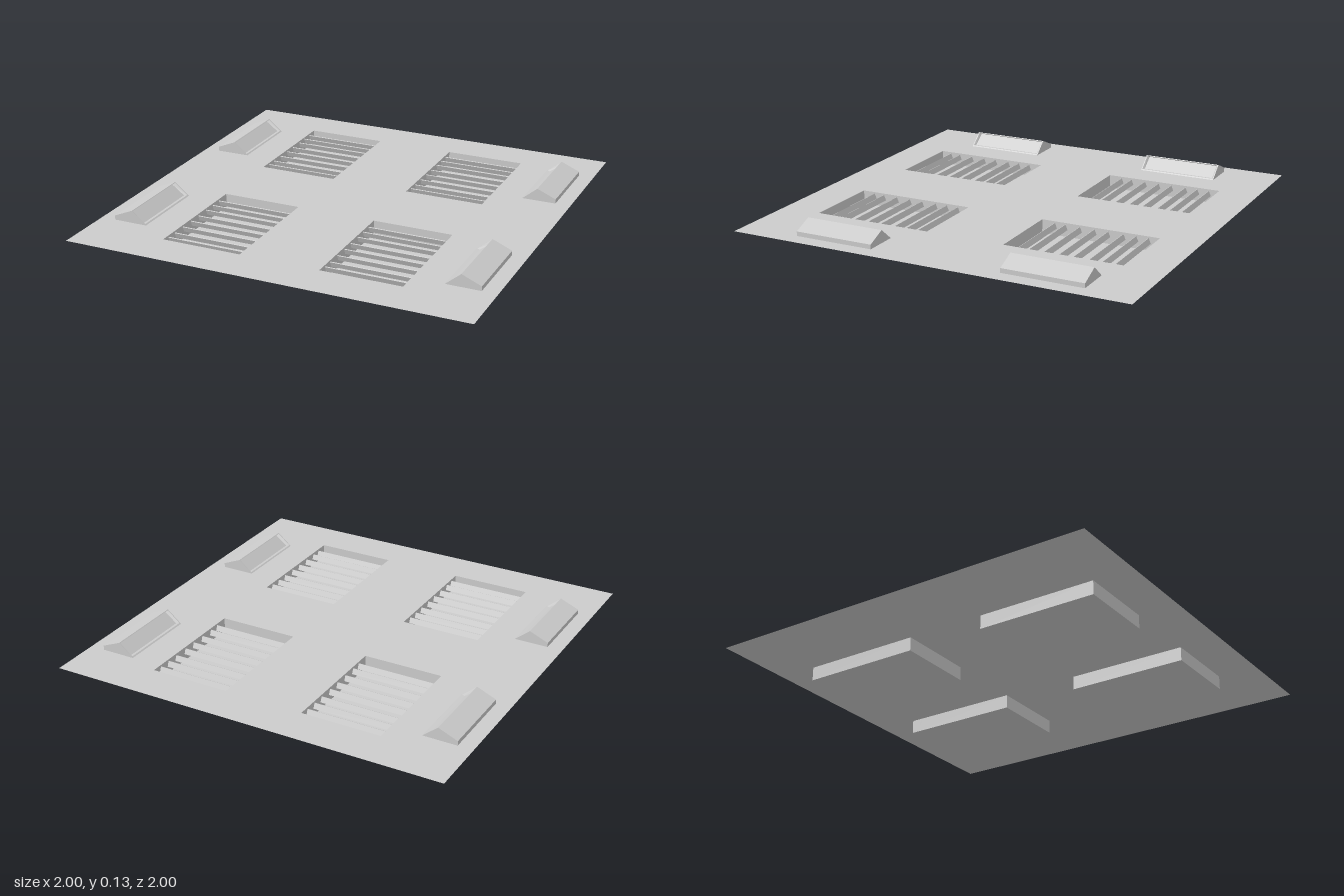
import * as THREE from 'three';

const material = new THREE.MeshStandardMaterial({
  color: 0xcccccc, flatShading: true, side: THREE.DoubleSide,
});
const DECK = 0.068;

function part(name, geometry) {
  const mesh = new THREE.Mesh(geometry, material);
  mesh.name = name;
  return mesh;
}

// Geometry from a list of four-cornered faces
function quads(faces) {
  const points = faces.flatMap(([a, b, c, d]) => [a, b, c, a, c, d]).flat();
  const geometry = new THREE.BufferGeometry();
  geometry.setAttribute('position', new THREE.Float32BufferAttribute(points, 3));
  geometry.computeVertexNormals();
  return geometry;
}

// Thin deck with four rectangular openings
function makeDeck() {
  const rect = (target, x0, y0, x1, y1) => {
    target.moveTo(x0, y0).lineTo(x1, y0).lineTo(x1, y1).lineTo(x0, y1).closePath();
    return target;
  };
  const shape = rect(new THREE.Shape(), -1, -1, 1, 1);
  for (const x of [-0.4, 0.4]) {
    for (const z of [-0.5, 0.5]) {
      shape.holes.push(rect(new THREE.Path(), x - 0.2, z - 0.3, x + 0.2, z + 0.3));
    }
  }
  const geometry = new THREE.ShapeGeometry(shape);
  geometry.rotateX(-Math.PI / 2).translate(0, DECK, 0);
  return part('deck', geometry);
}

// Open-topped tray filled with leaning slats
function makeVent(x, z, shift) {
  const vent = new THREE.Group();
  vent.name = 'vent';
  vent.position.set(x, 0, z);
  const corner = (sx, y, sz) => [sx * 0.2, y, sz * 0.3];
  const ring = [[-1, -1], [-1, 1], [1, 1], [1, -1]];
  const walls = ring.map(([ax, az], i) => {
    const [bx, bz] = ring[(i + 1) % 4];
    return [corner(ax, 0, az), corner(bx, 0, bz), corner(bx, DECK, bz), corner(ax, DECK, az)];
  });
  walls.push(ring.map(([ax, az]) => corner(ax, 0, az)));
  vent.add(part('tray', quads(walls)));

  const slatGeometry = new THREE.BoxGeometry(0.402, 0.028, 0.005);
  slatGeometry.rotateX(0.4);
  for (const offset of [0.052, 0.114, 0.178, 0.255, 0.325, 0.4, 0.475, 0.53]) {
    const slat = part('slat', slatGeometry);
    slat.position.set(0.001, 0.046, offset + shift - 0.3);
    vent.add(slat);
  }
  return vent;
}

// Wedge hood with a recessed panel in the slope facing the middle
function makeHood(side, z0, z1) {
  const hood = new THREE.Group();
  hood.name = side > 0 ? 'leftHood' : 'rightHood';
  const p = (x, y, z) => [side * x, y, z];
  const foot = 0.755, ridge = 0.83, back = 0.925, base = 0.069, top = 0.131;
  const end = (z) => [p(foot, base, z), p(ridge, top, z), p(back, 0.091, z), p(back, base, z)];
  const a = end(z0), b = end(z1);
  const shell = [a, b];
  for (let i = 1; i < 4; i++) shell.push([a[i], a[(i + 1) % 4], b[(i + 1) % 4], b[i]]);
  hood.add(part('hoodShell', quads(shell)));

  // Four mitred edges run from the outer slope down to the sunken panel
  const slope = (f, y, r, t, inset) => [
    p(f, y, z0 + inset), p(r, t, z0 + inset), p(r, t, z1 - inset), p(f, y, z1 - inset),
  ];
  const outer = slope(foot, base, ridge, top, 0);
  const rim = slope(foot + 0.006, base + 0.005, ridge - 0.003, top - 0.003, 0.005);
  const inner = slope(0.775, 0.073, 0.84, 0.121, 0.013);
  const loft = (u, v) => u.map((q, i) => [q, u[(i + 1) % 4], v[(i + 1) % 4], v[i]]);
  hood.add(part('hoodRim', quads(loft(outer, rim))));
  hood.add(part('hoodRecess', quads([...loft(rim, inner), inner])));
  return hood;
}

export function createModel() {
  const model = new THREE.Group();
  model.name = 'ventPanel';
  model.add(makeDeck());
  model.add(
    makeVent(-0.4, -0.5, 0), makeVent(0.4, -0.5, 0),
    makeVent(-0.4, 0.5, 0.016), makeVent(0.4, 0.5, 0.004),
  );
  model.add(
    makeHood(-1, 0.3, 0.7), makeHood(1, 0.3, 0.7),
    makeHood(-1, -0.71, -0.31), makeHood(1, -0.755, -0.355),
  );
  return model;
}
